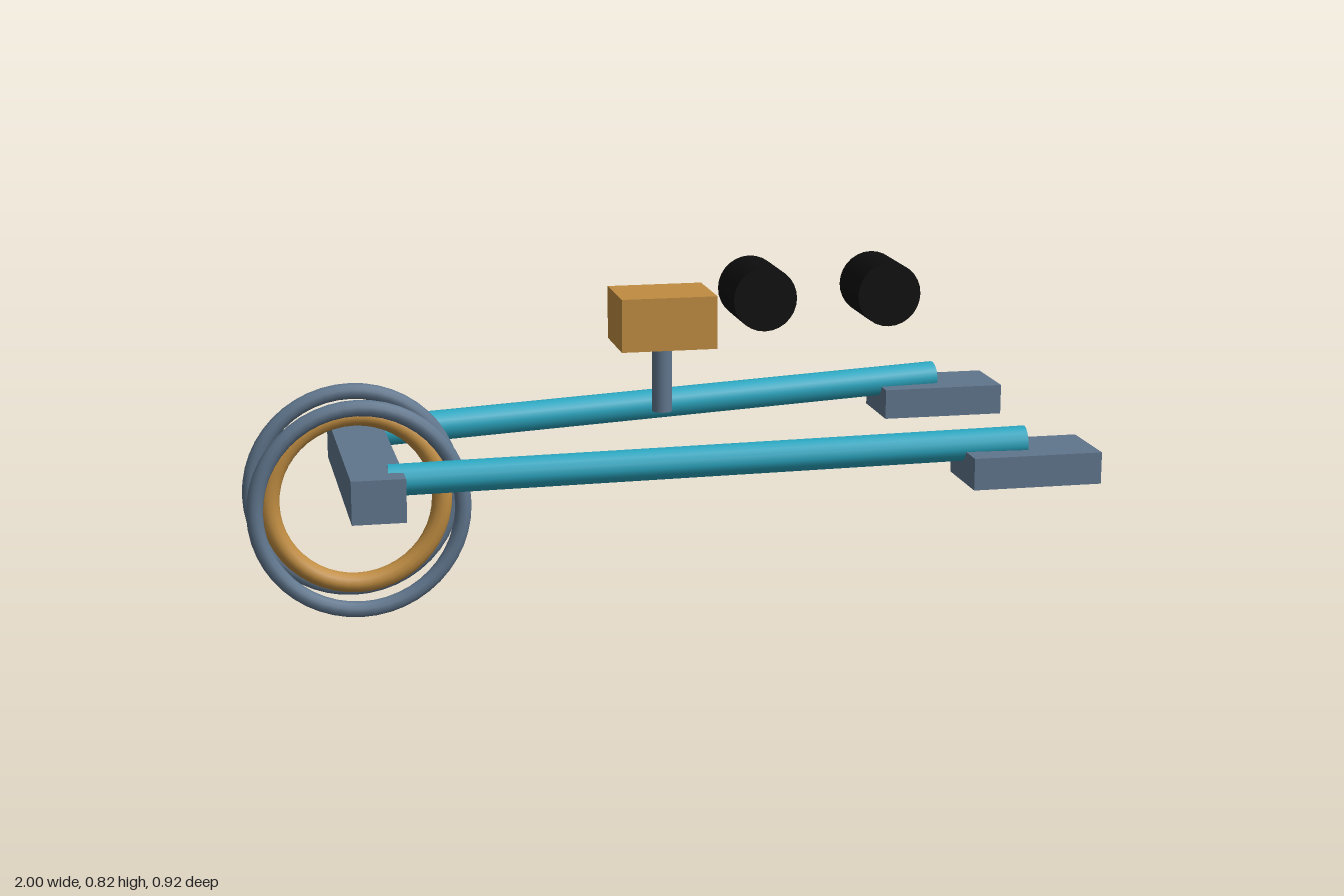
import * as THREE from 'three';

const material = (name, color) => {
  const m = new THREE.MeshStandardMaterial({ color });
  m.name = name;
  return m;
};

export function createModel() {
  const model = new THREE.Group();
  model.name = 'wheeledFrame';
  const steel = material('steel blue', 0x60768d);
  const ochre = material('ochre', 0xc08d42);
  const teal = material('teal', 0x2ba8c2);
  const black = material('black', 0x0d0d0d);

  const add = (name, geometry, mat, x, y, z) => {
    const mesh = new THREE.Mesh(geometry, mat);
    mesh.name = name;
    mesh.position.set(x, y, z);
    model.add(mesh);
    return mesh;
  };
  const box = (w, h, d) => new THREE.BoxGeometry(w, h, d);
  // Cylinder lying along z
  const roller = (r, length, sides) =>
    new THREE.CylinderGeometry(r, r, length, sides).rotateX(Math.PI / 2);

  // Wheel: a thick middle hoop between two thin outer hoops, on a short axle
  const wheelX = -0.733, wheelY = 0.271;
  add('wheelHoop', new THREE.TorusGeometry(0.21, 0.025, 12, 48), ochre, wheelX, wheelY, 0);
  add('axle', roller(0.0225, 0.29, 16), steel, wheelX, wheelY, 0);

  // Beam across the wheel
  add('crossBeam', box(0.128, 0.105, 0.656), steel, -0.709, 0.351, 0);

  for (const side of [1, -1]) {
    const label = side > 0 ? 'front' : 'back';
    add(label + 'GuardHoop', new THREE.TorusGeometry(0.25, 0.02, 10, 48), steel, wheelX, wheelY, side * 0.092);

    // Sloping rail from the cross beam to its foot plate
    const start = new THREE.Vector3(-0.677, 0.379, side * 0.24);
    const end = new THREE.Vector3(0.838, 0.429, side * 0.368);
    const along = end.clone().sub(start);
    const rail = add(label + 'Rail', new THREE.CylinderGeometry(0.038, 0.038, along.length(), 14), teal, 0, 0, 0);
    rail.position.copy(start).add(end).multiplyScalar(0.5);
    rail.quaternion.setFromUnitVectors(new THREE.Vector3(0, 1, 0), along.normalize());

    add(label + 'FootPlate', box(0.316, 0.077, 0.182), steel, 0.842, 0.377, side * 0.368);
  }

  // Block on a post
  add('post', new THREE.CylinderGeometry(0.025, 0.025, 0.17, 16), steel, 0.026, 0.542, 0);
  add('block', box(0.236, 0.13, 0.184), ochre, 0.026, 0.692, 0);

  // Two padded rollers
  for (const x of [0.265, 0.578]) {
    add('roller', roller(0.079, 0.172, 28), black, x, 0.743, 0);
  }

  return model;
}
